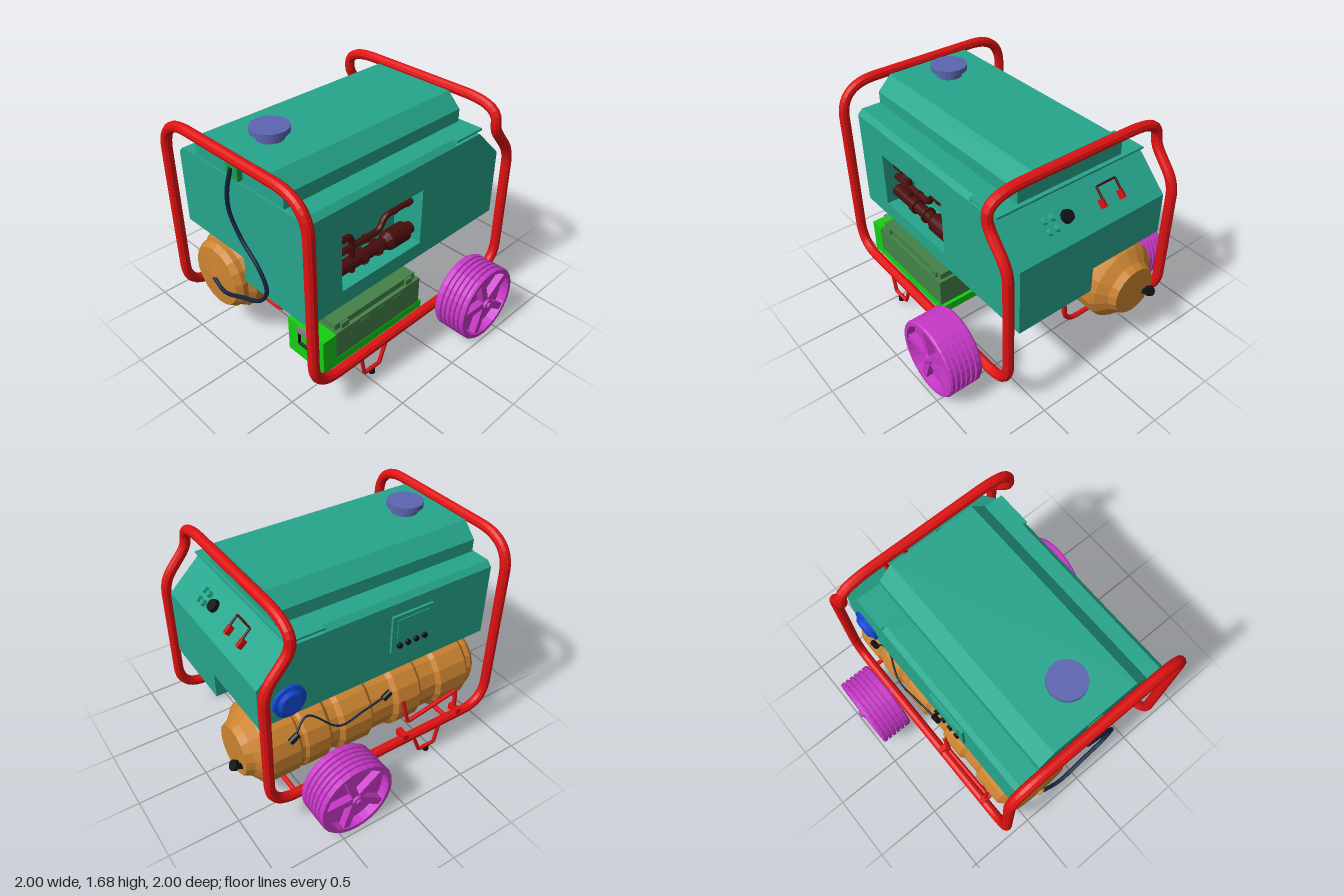
import * as THREE from 'three';

const C = {
  teal: 0x26a58c, red: 0xe01212, magenta: 0xc838c8, orange: 0xcc8430, lime: 0x12d012, moss: 0x448248,
  navy: 0x10243f, maroon: 0x4a0c0c, black: 0x121212, blue: 0x1248d8, violet: 0x5c66b0, grey: 0x808080, socket: 0x15a045,
};
const mats = {};
const mat = (c) => (mats[c] ??= new THREE.MeshStandardMaterial({ color: C[c], flatShading: true }));
const V = (a) => new THREE.Vector3(a[0], a[1], a[2]);

function add(parent, name, geo, color, x = 0, y = 0, z = 0) {
  const m = new THREE.Mesh(geo, mat(color));
  m.name = name;
  m.position.set(x, y, z);
  parent.add(m);
  return m;
}
// Box given by its limits on each axis
function block(parent, name, color, [x0, x1], [y0, y1], [z0, z1]) {
  return add(parent, name, new THREE.BoxGeometry(x1 - x0, y1 - y0, z1 - z0), color, (x0 + x1) / 2, (y0 + y1) / 2, (z0 + z1) / 2);
}
// Polyline with rounded corners; each point is [x, y, z, cutBefore, cutAfter]
function bent(points) {
  const path = new THREE.CurvePath();
  let last = V(points[0]);
  for (let i = 1; i < points.length; i++) {
    const p = V(points[i]), before = points[i][3] ?? 0, after = points[i][4] ?? before;
    if (!before || i === points.length - 1) {
      path.add(new THREE.LineCurve3(last, p));
      last = p;
      continue;
    }
    const a = p.clone().add(last.clone().sub(p).setLength(before));
    const b = p.clone().add(V(points[i + 1]).sub(p).setLength(after));
    path.add(new THREE.LineCurve3(last, a));
    path.add(new THREE.QuadraticBezierCurve3(a, p, b));
    last = b;
  }
  return path;
}
const pipe = (points, r, seg = 40, sides = 8) => new THREE.TubeGeometry(bent(points), seg, r, sides);
const polygon = (pts) => new THREE.Shape(pts.map((p) => new THREE.Vector2(...p)));
// Side outline (z, y) extruded across x
function acrossX(shape, x0, x1) {
  return new THREE.ExtrudeGeometry(shape, { depth: x1 - x0, bevelEnabled: false }).rotateY(-Math.PI / 2).translate(x1, 0, 0);
}
// Front outline (x, y) extruded along z
function alongZ(shape, z0, z1) {
  return new THREE.ExtrudeGeometry(shape, { depth: z1 - z0, bevelEnabled: false }).translate(0, 0, z0);
}
const lathe = (pts, n) => new THREE.LatheGeometry(pts.map((p) => new THREE.Vector2(...p)), n);

function buildFrame(g) {
  // One continuous tube: front hoop, lower rails and rear hoop
  const side = [
    [0.68, 1.6, 0.96, 0.27, 0.24], [0.68, 0.24, 0.96, 0.2], [0.68, 0.24, -0.85, 0.2],
    [0.68, 1.2, -0.85, 0.1], [0.68, 1.42, -0.665, 0.08, 0.05], [0.68, 1.6, -0.665, 0.12, 0.27],
  ];
  const other = side.map(([x, y, z, a, b]) => [-x, y, z, b ?? a, a]).reverse();
  add(g, 'frameTube', pipe([[0, 1.6, 0.96], ...side, [0, 1.6, -0.665], ...other, [0, 1.6, 0.96]], 0.036, 320, 10), 'red');

  // Cradles carrying the lower tank
  for (const z of [0.63, -0.65])
    add(g, 'tankCradle', pipe([[-0.66, 0.225, z], [0.02, 0.225, z, 0.12], [0.06, 0.7, z]], 0.018), 'red');

  // Stand legs with rubber feet
  for (const x of [-0.675, 0.675]) {
    add(g, 'standLeg', pipe([[x, 0.2, 0.62], [x, 0.2, 0.55], [x, 0.045, 0.52], [x, 0.045, 0.38], [x, 0.2, 0.32], [x, 0.2, 0.27]], 0.014, 60, 6), 'red');
    add(g, 'foot', new THREE.CylinderGeometry(0.023, 0.023, 0.035, 10), 'black', x, 0.0225, 0.45);
  }
  // Triangular bracket between lower rail and tank
  add(g, 'tankBracket', pipe([[-0.66, 0.26, 0.7], [-0.65, 0.44, 0.7], [-0.65, 0.36, 0.27], [-0.64, 0.58, 0.22]], 0.016, 50, 6), 'red');
  for (const z of [0.22, 0.7]) block(g, 'railClamp', 'red', [-0.71, -0.62], [0.25, 0.3], [z - 0.02, z + 0.02]);
}

function buildHousing(g) {
  // Housing halves: the +x half is deeper and has a recess for the pipes
  const outline = (bottom) => polygon([[0.92, bottom], [0.92, 1.375], [-0.62, 1.375], [-0.85, 1.15], [-0.85, bottom]]);
  add(g, 'housingShallowHalf', acrossX(outline(0.85), -0.595, 0), 'teal');
  add(g, 'housingDeepHalf', acrossX(outline(0.66), 0, 0.36), 'teal');
  const skin = outline(0.66);
  skin.holes.push(new THREE.Path([[0.64, 0.77], [0.64, 1.12 + 0.06], [-0.07, 1.18], [-0.07, 0.77]].map((p) => new THREE.Vector2(...p))));
  add(g, 'recessedSide', acrossX(skin, 0.36, 0.595), 'teal');
  add(g, 'housingShoulder', alongZ(polygon([[-0.595, 1.375], [0.595, 1.375], [0.56, 1.41], [-0.56, 1.41]]), -0.38, 0.92), 'teal');
  block(g, 'rearLip', 'teal', [-0.595, 0.595], [1.396, 1.41], [-0.64, -0.38]);

  // Upper fuel tank with its filler cap
  add(g, 'fuelTank', alongZ(polygon([[-0.42, 1.4], [0.42, 1.4], [0.42, 1.5], [0.32, 1.6], [-0.32, 1.6], [-0.42, 1.5]]), -0.61, 0.91), 'teal');
  add(g, 'fuelCap', lathe([[0, 1.59], [0.09, 1.59], [0.09, 1.63], [0.125, 1.645], [0.125, 1.68], [0, 1.68]], 24), 'violet', 0, 0, 0.65);

  // Exhaust and pipes in the recess
  const x = 0.5;
  add(g, 'upperPipe', pipe([[x, 1.06, 0.64], [x, 1.06, 0.47, 0.06], [x, 0.78, 0.47]], 0.022), 'maroon');
  add(g, 'bentPipe', pipe([[x, 0.97, 0.64], [x, 0.97, 0.22, 0.05], [x, 1.06, 0.18, 0.05], [x, 1.06, -0.07]], 0.022), 'maroon');
  const muffler = [[0, -0.07], [0.042, -0.07], [0.042, -0.03], [0.068, -0.01], [0.068, 0.15], [0.045, 0.19], [0.045, 0.24], [0.058, 0.24],
    [0.058, 0.26], [0.042, 0.26], [0.042, 0.37], [0.058, 0.37], [0.058, 0.39], [0.045, 0.39], [0.045, 0.64], [0, 0.64]];
  add(g, 'muffler', lathe(muffler, 14).rotateX(Math.PI / 2), 'maroon', x, 0.85, 0);
  for (const [y, z] of [[1.06, 0.54], [0.97, 0.35], [1.06, 0.1], [1.06, -0.03]])
    add(g, 'pipeCollar', new THREE.CylinderGeometry(0.028, 0.028, 0.025, 10).rotateX(Math.PI / 2), 'maroon', x, y, z);

  // Control panel and air filter on the -x side
  block(g, 'sidePanelFrame', 'teal', [-0.612, -0.59], [1.01, 1.29], [0.11, 0.43]);
  block(g, 'sidePanelScreen', 'teal', [-0.618, -0.6], [1.12, 1.26], [0.15, 0.39]);
  for (let i = 0; i < 4; i++)
    add(g, 'panelKnob', new THREE.CylinderGeometry(0.02, 0.02, 0.025, 10).rotateZ(Math.PI / 2), 'black', -0.618, 1.06, 0.17 + i * 0.067);
  add(g, 'airFilter', lathe([[0.115, 0], [0.115, 0.025], [0.09, 0.03], [0.07, 0.05], [0, 0.05]], 20).rotateZ(Math.PI / 2), 'blue', -0.59, 0.98, -0.64);

  // Sloping rear panel: dial, buttons and guard handle
  const panel = new THREE.Group();
  panel.name = 'rearPanel';
  panel.position.set(0, 1.2625, -0.735);
  panel.rotation.x = -Math.PI / 4;
  add(panel, 'dial', new THREE.CylinderGeometry(0.04, 0.046, 0.03, 14), 'black', 0.145, 0.012, 0);
  for (const bx of [0.24, 0.3]) for (const bz of [-0.035, 0.035])
    add(panel, 'button', new THREE.CylinderGeometry(0.018, 0.024, 0.03, 10), 'teal', bx, 0.014, bz);
  add(panel, 'guardHandle', pipe([[-0.28, 0, -0.05], [-0.28, 0.035, -0.05], [-0.28, 0.035, 0.08], [-0.12, 0.035, 0.08], [-0.12, 0.035, -0.05], [-0.12, 0, -0.05]], 0.008, 60, 6), 'maroon');
  for (const hx of [-0.28, -0.12]) block(panel, 'handleClip', 'red', [hx - 0.014, hx + 0.014], [0, 0.04], [-0.06, 0]);
  g.add(panel);
}

function buildTank(g) {
  // Ribbed horizontal cylinder, profile as [radius, z]
  const profile = [[0, -0.92], [0.175, -0.92], [0.2, -0.87], [0.27, -0.81], [0.287, -0.78], [0.287, -0.58], [0.272, -0.56], [0.272, -0.54],
    [0.287, -0.52], [0.287, -0.36], [0.258, -0.33], [0.258, -0.27], [0.287, -0.24], [0.287, -0.03], [0.258, 0], [0.258, 0.17],
    [0.287, 0.2], [0.287, 0.38], [0.262, 0.41], [0.262, 0.54], [0.287, 0.57], [0.287, 0.8], [0.25, 0.84], [0.25, 0.88], [0.22, 0.92],
    [0.03, 0.935], [0.03, 0.95], [0, 0.95]];
  add(g, 'lowerTank', lathe(profile, 18).rotateX(Math.PI / 2), 'orange', -0.35, 0.5, 0);
  // Rear valve
  add(g, 'valveStem', pipe([[-0.45, 0.42, -0.89], [-0.45, 0.47, -0.96]], 0.02, 2), 'black');
  add(g, 'valveKnob', new THREE.CylinderGeometry(0.036, 0.036, 0.03, 12).rotateX(-0.95), 'black', -0.45, 0.478, -0.97);
  // Front cable from socket to tank, and the thin side lead
  block(g, 'cableSocket', 'socket', [-0.055, 0.055], [1.44, 1.55], [0.9, 0.945]);
  const curve = (pts, r) => new THREE.TubeGeometry(new THREE.CatmullRomCurve3(pts.map(V)), 60, r, 8);
  add(g, 'frontCable', curve([[0, 1.52, 0.945], [-0.035, 1.36, 0.965], [-0.045, 1.2, 0.96], [0.03, 1.04, 0.95], [0.2, 0.88, 0.95],
    [0.255, 0.75, 0.95], [0.18, 0.63, 0.955], [0, 0.55, 0.96], [-0.2, 0.48, 0.965], [-0.34, 0.505, 0.945]], 0.014), 'navy');
  add(g, 'sideLead', curve([[-0.61, 0.66, -0.62], [-0.57, 0.755, -0.5], [-0.64, 0.62, -0.3], [-0.63, 0.64, -0.1], [-0.61, 0.66, 0.1]], 0.007), 'navy');
  for (const z of [-0.62, 0.1]) add(g, 'leadPlug', new THREE.CylinderGeometry(0.022, 0.022, 0.07, 8).rotateX(1), 'black', -0.61, 0.66, z);
}

function buildBattery(g) {
  // Tray, battery case, lid and front latch
  block(g, 'tray', 'lime', [0.305, 0.635], [0.24, 0.3], [-0.07, 0.84]);
  block(g, 'trayFront', 'lime', [0.305, 0.635], [0.24, 0.5], [0.73, 0.84]);
  block(g, 'batteryCase', 'moss', [0.31, 0.632], [0.3, 0.505], [-0.045, 0.73]);
  block(g, 'batteryLid', 'moss', [0.34, 0.605], [0.5, 0.55], [-0.02, 0.715]);
  for (const z of [0.05, 0.64]) block(g, 'lidTerminal', 'moss', [0.58, 0.622], [0.505, 0.545], [z - 0.03, z + 0.03]);
  for (const z of [0.18, 0.33, 0.48]) block(g, 'caseSlot', 'moss', [0.62, 0.636], [0.47, 0.482], [z - 0.035, z + 0.035]);
  add(g, 'latch', pipe([[0.42, 0.47, 0.845], [0.42, 0.37, 0.85], [0.52, 0.37, 0.85], [0.52, 0.47, 0.845]], 0.01, 40, 6), 'black');
  block(g, 'latchPlate', 'grey', [0.41, 0.53], [0.46, 0.5], [0.82, 0.86]);
}

function buildWheel() {
  const w = new THREE.Group();
  w.name = 'wheel';
  // Grooved tread with recessed faces, turned about its axle
  const p = [[0, -0.05], [0.24, -0.05], [0.24, -0.122], [0.268, -0.122], [0.276, -0.11]];
  for (let i = 0; i < 5; i++) {
    const a = -0.075 + i * 0.038;
    p.push([0.276, a], [0.262, a + 0.004], [0.262, a + 0.01], [0.276, a + 0.014]);
  }
  p.push([0.276, 0.11], [0.268, 0.122], [0.24, 0.122], [0.235, 0.06], [0, 0.06]);
  add(w, 'tyre', lathe(p, 28).rotateZ(-Math.PI / 2), 'magenta');
  for (let i = 0; i < 5; i++) {
    const spoke = new THREE.BoxGeometry(0.06, 0.215, 0.05).translate(0.082, 0.132, 0).rotateX((i * 2 * Math.PI) / 5 + 0.3);
    add(w, 'spoke', spoke, 'magenta');
  }
  add(w, 'hub', new THREE.CylinderGeometry(0.036, 0.045, 0.1, 14).rotateZ(-Math.PI / 2), 'magenta', 0.08);
  add(w, 'axle', new THREE.CylinderGeometry(0.02, 0.02, 0.3, 12).rotateZ(-Math.PI / 2), 'magenta', -0.005);
  return w;
}

export function createModel() {
  const g = new THREE.Group();
  g.name = 'portableGenerator';
  buildFrame(g);
  buildHousing(g);
  buildTank(g);
  buildBattery(g);
  for (const s of [-1, 1]) {
    const w = buildWheel();
    w.position.set(s * 0.855, 0.28, -0.38);
    if (s < 0) w.rotation.y = Math.PI;
    g.add(w);
  }
  return g;
}
